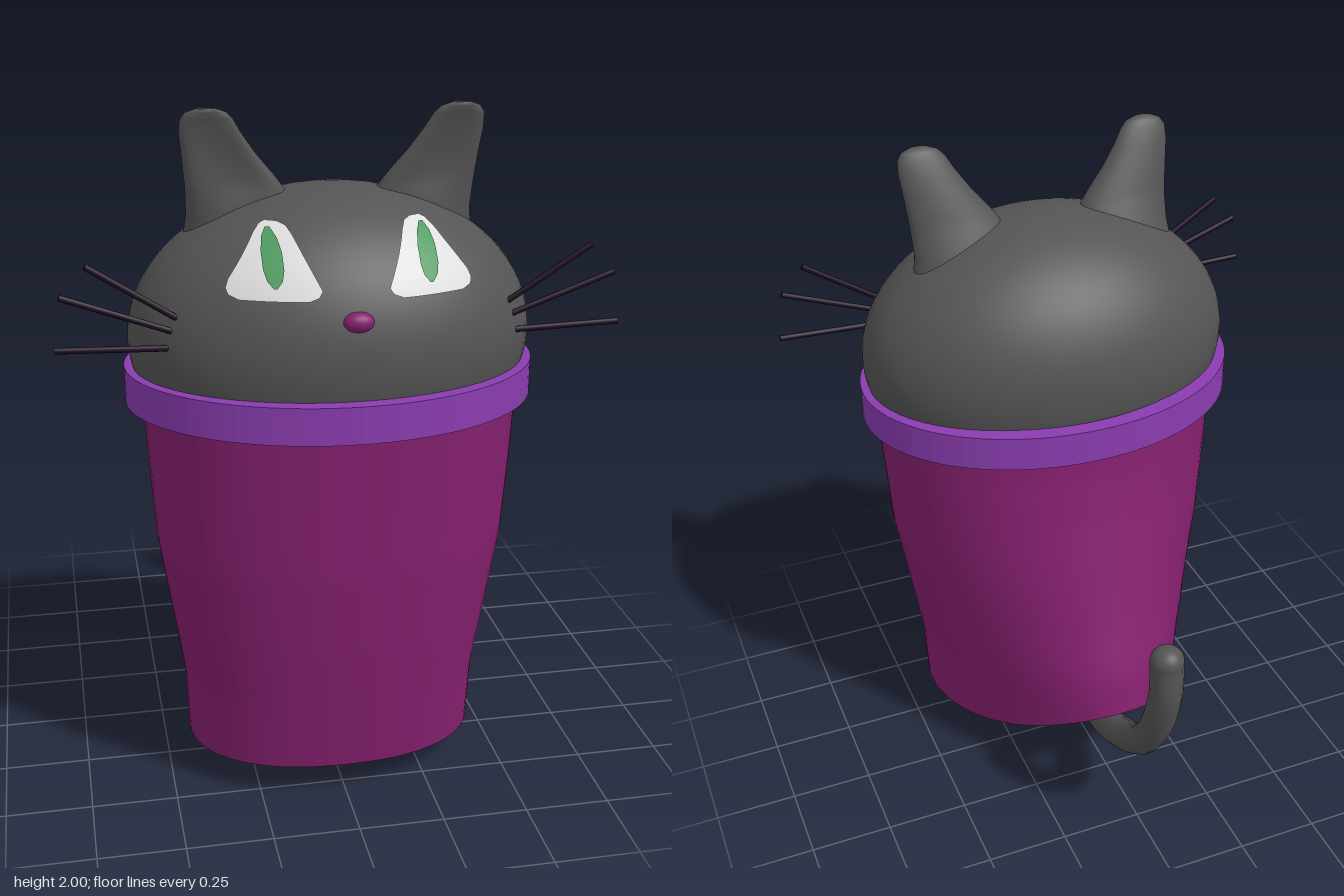
import * as THREE from 'three';

const mat = (name, color, side = THREE.FrontSide) => {
  const m = new THREE.MeshStandardMaterial({ color, side });
  m.name = name;
  return m;
};

// Head ellipsoid, shared by the head and everything painted on it
const HEAD = { y: 1.36, z: 0.27, rx: 0.575, ry: 0.42, rz: 0.415 };

// Skin over rows of points, rows running upward; each row may close on itself
function loft(rows, closed = true) {
  const n = rows[0].length, pos = rows.flat(2), idx = [];
  for (let r = 0; r < rows.length - 1; r++) {
    for (let i = 0; i < (closed ? n : n - 1); i++) {
      const a = r * n + i, b = r * n + (i + 1) % n;
      idx.push(a, a + n, b, b, a + n, b + n);
    }
  }
  const g = new THREE.BufferGeometry();
  g.setAttribute('position', new THREE.Float32BufferAttribute(pos, 3));
  g.setIndex(idx);
  g.computeVertexNormals();
  return g;
}

// Linear lookup in a list of [y, value], y descending
function lookup(table, y) {
  for (let i = 1; i < table.length; i++) {
    const [y0, v0] = table[i - 1], [y1, v1] = table[i];
    if (y >= y1) return v0 + (v1 - v0) * Math.min(1, (y0 - y) / (y0 - y1));
  }
  return table[table.length - 1][1];
}

// Cape: oval shell drawn out to a point over the tail, hem lifted at the back
function capeGeometry() {
  const width = [[1.22, 0.54], [1, 0.53], [0.75, 0.513], [0.5, 0.474], [0.3, 0.443], [0.1, 0.435]];
  const front = [[1.22, 0.695], [0.75, 0.662], [0.5, 0.632], [0.3, 0.602], [0.1, 0.57]];
  const back = [[1.22, -0.165], [1.1, -0.172], [0.95, -0.2], [0.75, -0.255], [0.6, -0.3], [0.45, -0.355], [0.33, -0.375]];
  const base = [[1.22, -0.165], [0.1, -0.1]];
  const cz = 0.265, n = 64, levels = 24, rows = [];
  const pow = (v, p) => Math.sign(v) * Math.abs(v) ** p;
  for (let r = 0; r <= levels; r++) {
    const row = [];
    for (let i = 0; i < n; i++) {
      const a = i / n * Math.PI * 2, s = Math.sin(a), c = Math.cos(a);
      const bump = Math.max(0, c) ** 3;
      const hem = 0.1 + 0.23 * bump ** 1.3;
      const y = hem + (1.22 - hem) * r / levels;
      const x = lookup(width, y) * pow(s, c < 0 ? 0.88 : 1);
      const z = c < 0
        ? cz + (lookup(front, y) - cz) * pow(-c, 0.88)
        : cz + (lookup(base, y) - cz) * c + (lookup(back, y) - lookup(base, y)) * bump;
      row.push([x, y, z]);
    }
    rows.push(row);
  }
  return loft(rows);
}

// Ear: flattened tapering horn with a hollowed front
function earGeometry(side) {
  // y, inner x, outer x, front z, back z, hollow depth
  const levels = [
    [1.58, 0.06, 0.42, 0.34, 0.14, 0],
    [1.70, 0.09, 0.402, 0.345, 0.19, 0.01],
    [1.77, 0.13, 0.404, 0.35, 0.225, 0.03],
    [1.81, 0.16, 0.407, 0.35, 0.24, 0.035],
    [1.87, 0.21, 0.413, 0.35, 0.262, 0.03],
    [1.93, 0.252, 0.42, 0.352, 0.285, 0.02],
    [1.97, 0.275, 0.418, 0.354, 0.302, 0.01],
    [1.99, 0.295, 0.403, 0.354, 0.315, 0],
    [2.0, 0.325, 0.375, 0.35, 0.328, 0],
    [2.0, 0.35, 0.35, 0.34, 0.34, 0],
  ];
  const n = 28;
  return loft(levels.map(([y, xi, xo, zf, zb, dent]) => Array.from({ length: n }, (_, i) => {
    const a = side * i / n * Math.PI * 2, s = Math.sin(a);
    const x = (xi + xo) / 2 + (xo - xi) / 2 * Math.cos(a);
    const z = (zf + zb) / 2 + (zf - zb) / 2 * s - dent * Math.max(0, s) ** 3;
    return [side * x, y, z];
  })));
}

// Thin patch hugging the face, from outlines [y, left x, right x]
function facePatch(outline, lift) {
  const cols = 12, rows = [];
  const at = (x, y) => {
    const q = 1 - (x / HEAD.rx) ** 2 - ((y - HEAD.y) / HEAD.ry) ** 2;
    const z = HEAD.rz * Math.sqrt(Math.max(0, q));
    const nrm = new THREE.Vector3(x / HEAD.rx ** 2, (y - HEAD.y) / HEAD.ry ** 2, z / HEAD.rz ** 2).setLength(lift);
    return [x + nrm.x, y + nrm.y, HEAD.z + z + nrm.z];
  };
  for (let k = 0; k < outline.length - 1; k++) {
    const steps = 4, last = k === outline.length - 2;
    for (let s = 0; s < steps + (last ? 1 : 0); s++) {
      const [y, l, r] = outline[k].map((v, j) => v + (outline[k + 1][j] - v) * s / steps);
      rows.push(Array.from({ length: cols + 1 }, (_, i) => at(l + (r - l) * i / cols, y)));
    }
  }
  return loft(rows, false);
}

export function createModel() {
  const fur = mat('charcoal fur', 0x545454);
  const cloth = mat('plum cloth', 0x86206f, THREE.DoubleSide);
  const band = mat('violet band', 0x8a3cb0);
  const white = mat('eye white', 0xdedede, THREE.DoubleSide);
  const green = mat('pupil green', 0x4f9c60, THREE.DoubleSide);
  const dark = mat('whisker black', 0x1c0a20);

  const model = new THREE.Group();
  const add = (name, geometry, material, x = 0, y = 0, z = 0) => {
    const m = new THREE.Mesh(geometry, material);
    m.name = name;
    m.position.set(x, y, z);
    model.add(m);
    return m;
  };
  const ball = (name, material, x, y, z, rx, ry, rz) =>
    add(name, new THREE.SphereGeometry(1, 64, 40), material, x, y, z).scale.set(rx, ry, rz);

  ball('head', fur, 0, HEAD.y, HEAD.z, HEAD.rx, HEAD.ry, HEAD.rz);
  ball('innerBody', fur, 0, 0.9, 0.25, 0.4, 0.45, 0.32);
  ball('nose', cloth, 0, 1.488, 0.658, 0.042, 0.028, 0.028);
  add('cape', capeGeometry(), cloth);

  // Collar: oval ring
  const ring = new THREE.Shape().absellipse(0, 0, 0.588, 0.455, 0, Math.PI * 2);
  ring.holes.push(new THREE.Path().absellipse(0, 0, 0.535, 0.405, 0, Math.PI * 2));
  const collar = new THREE.ExtrudeGeometry(ring, { depth: 0.105, bevelEnabled: false, curveSegments: 48 });
  collar.rotateX(-Math.PI / 2);
  add('collar', collar, band, 0, 1.172, 0.265);

  // Tail: swept curve with a rounded tip
  const path = new THREE.CatmullRomCurve3([
    [0.5, 0.0], [0.32, -0.07], [0.21, -0.14], [0.195, -0.24], [0.255, -0.39], [0.36, -0.53],
    [0.5, -0.62], [0.65, -0.667], [0.775, -0.667],
  ].map(([y, z]) => new THREE.Vector3(0, y, z)));
  add('tail', new THREE.TubeGeometry(path, 48, 0.05, 14), fur);
  ball('tailTip', fur, 0, 0.775, -0.667, 0.05, 0.046, 0.05);

  // Stubby foot profile
  const foot = [[0, 0], [0.1, 0], [0.118, 0.03], [0.138, 0.1], [0.14, 0.2], [0.125, 0.27], [0.08, 0.31], [0, 0.32]]
    .map(([r, y]) => new THREE.Vector2(r, y));

  const eye = [[1.54, 0.125, 0.3], [1.55, 0.098, 0.325], [1.565, 0.088, 0.33], [1.585, 0.098, 0.322],
    [1.64, 0.125, 0.28], [1.69, 0.148, 0.243], [1.708, 0.16, 0.225], [1.715, 0.18, 0.21]];
  const pupil = [[1.568, 0.202, 0.21], [1.585, 0.187, 0.225], [1.61, 0.18, 0.232], [1.65, 0.18, 0.232],
    [1.68, 0.187, 0.225], [1.7, 0.2, 0.212]];
  const whiskers = [[0.455, 1.475, 0.69, 1.625], [0.465, 1.438, 0.76, 1.545], [0.475, 1.393, 0.78, 1.402]];

  for (const side of [1, -1]) {
    const label = side > 0 ? 'left' : 'right';
    const flip = rows => rows.map(([y, l, r]) => side > 0 ? [y, l, r] : [y, -r, -l]);
    add(label + 'Ear', earGeometry(side), fur);
    add(label + 'Leg', new THREE.LatheGeometry(foot, 28), fur, side * 0.22, 0, 0.265);
    // Row order is left to right, so the patch winding is turned to face forward
    for (const [part, rows, m, lift] of [['Eye', eye, white, 0.004], ['Pupil', pupil, green, 0.008]]) {
      const g = facePatch(flip(rows).reverse(), lift);
      add(label + part, g, m);
    }
    for (const [x0, y0, x1, y1] of whiskers) {
      const dx = side * (x1 - x0), dy = y1 - y0;
      const w = add(label + 'Whisker', new THREE.CylinderGeometry(0.009, 0.009, Math.hypot(dx, dy), 8), dark,
        side * (x0 + x1) / 2, (y0 + y1) / 2, 0.487);
      w.rotation.z = Math.atan2(-dx, dy);
    }
  }
  return model;
}
